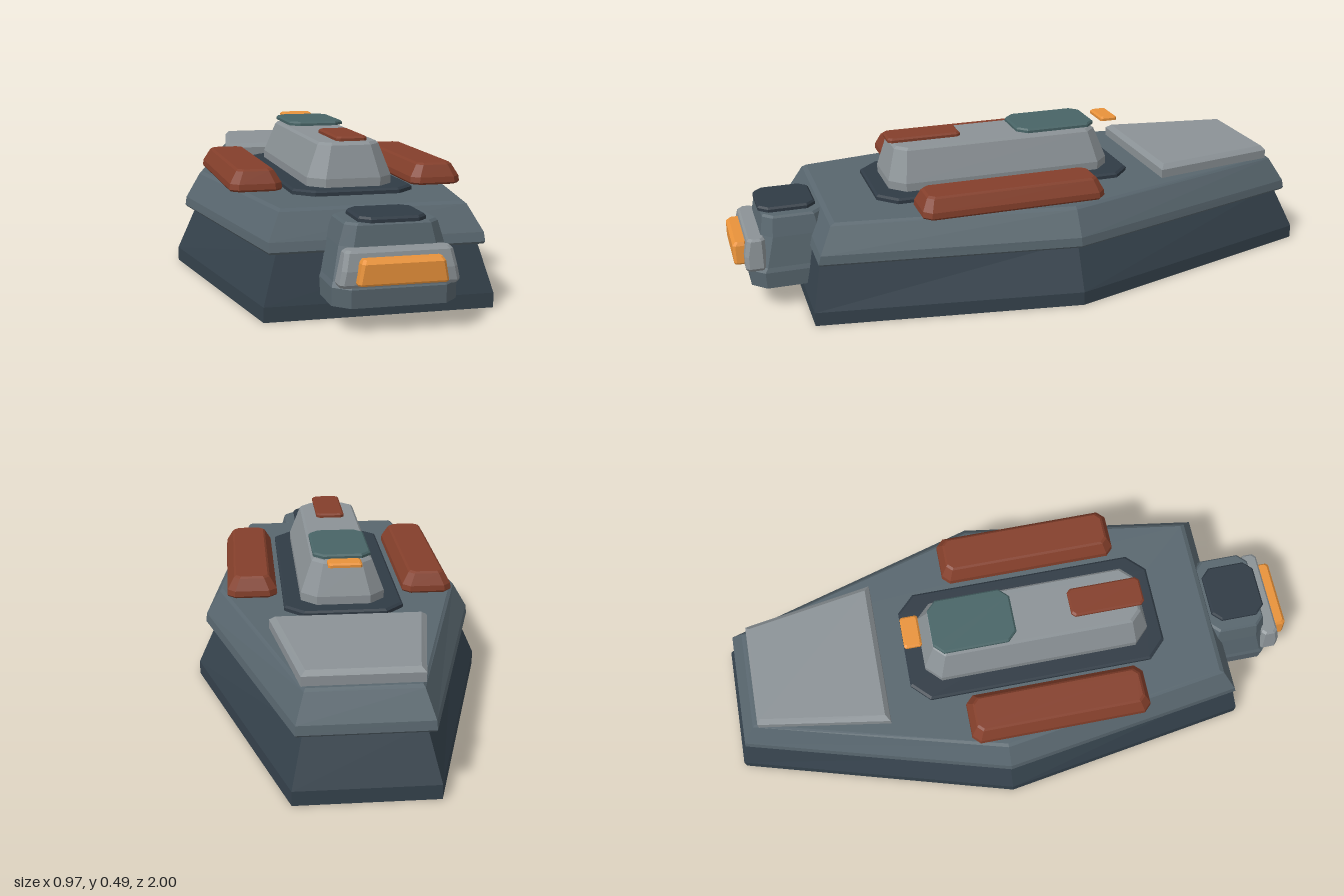
import * as THREE from 'three';

const COLORS = {
  hull: 0x35424c, deck: 0x58666e, grey: 0x8b9296, dark: 0x303b45,
  red: 0x843f2b, orange: 0xe8923a, teal: 0x486466,
};

// Solid skinned over horizontal rings; each ring runs counter-clockwise seen from above.
function loft(rings) {
  const pos = [];
  const n = rings[0].length;
  const tri = (a, b, c) => pos.push(...a, ...b, ...c);
  for (let r = 0; r < rings.length - 1; r++) {
    const lo = rings[r], hi = rings[r + 1];
    for (let i = 0; i < n; i++) {
      const j = (i + 1) % n;
      tri(lo[i], lo[j], hi[j]);
      tri(lo[i], hi[j], hi[i]);
    }
  }
  const bottom = rings[0], top = rings[rings.length - 1];
  for (let i = 1; i < n - 1; i++) {
    tri(bottom[0], bottom[i + 1], bottom[i]);
    tri(top[0], top[i], top[i + 1]);
  }
  const geometry = new THREE.BufferGeometry();
  geometry.setAttribute('position', new THREE.Float32BufferAttribute(pos, 3));
  geometry.computeVertexNormals();
  return geometry;
}

// Mirrored outline at height y from [half width, z] pairs listed front to back.
function ring(y, ...side) {
  const right = side.map(([x, z]) => [x, y, z]);
  const left = side.map(([x, z]) => [-x, y, z]).reverse();
  return [...right, ...left];
}

// Rectangle with cut corners.
function cutRect(y, halfWidth, back, front, cut) {
  return ring(y, [halfWidth - cut, front], [halfWidth, front - cut],
    [halfWidth, back + cut], [halfWidth - cut, back]);
}

export function createModel() {
  const model = new THREE.Group();

  const add = (name, color, rings, x = 0) => {
    const material = new THREE.MeshStandardMaterial({ color: COLORS[color], flatShading: true });
    const mesh = new THREE.Mesh(loft(rings), material);
    mesh.name = name;
    mesh.position.x = x;
    model.add(mesh);
  };

  // Six-sided hull, tapering upward
  add('hull', 'hull', [
    ring(0, [0.35, 0.785], [0.485, -0.07], [0.213, -1]),
    ring(0.045, [0.35, 0.785], [0.485, -0.07], [0.213, -1]),
    ring(0.2, [0.305, 0.752], [0.415, -0.07], [0.175, -0.93]),
  ]);

  // Overhanging deck with a wide bevel
  add('deck', 'deck', [
    ring(0.19, [0.325, 0.755], [0.45, -0.07], [0.197, -0.955]),
    ring(0.197, [0.33, 0.76], [0.457, -0.07], [0.2, -0.962]),
    ring(0.225, [0.328, 0.752], [0.453, -0.07], [0.198, -0.957]),
    ring(0.305, [0.288, 0.71], [0.406, -0.07], [0.171, -0.91]),
    ring(0.313, [0.28, 0.695], [0.395, -0.07], [0.166, -0.9]),
  ]);

  // Tapered panel on the rear deck
  add('rearPanel', 'grey', [
    ring(0.312, [0.25, -0.445], [0.178, -0.888]),
    ring(0.342, [0.25, -0.445], [0.178, -0.888]),
    ring(0.357, [0.23, -0.46], [0.164, -0.875]),
  ]);

  // Central superstructure on its base plate
  add('towerBase', 'dark', [
    cutRect(0.31, 0.195, -0.36, 0.53, 0.06),
    cutRect(0.324, 0.195, -0.36, 0.53, 0.06),
    cutRect(0.33, 0.188, -0.353, 0.523, 0.058),
  ]);
  add('tower', 'grey', [
    cutRect(0.328, 0.138, -0.3, 0.478, 0.05),
    cutRect(0.357, 0.138, -0.3, 0.478, 0.05),
    cutRect(0.458, 0.1, -0.262, 0.45, 0.036),
    cutRect(0.466, 0.092, -0.252, 0.44, 0.033),
  ]);

  // Thin plates above the tower
  const plate = (name, color, y, halfWidth, back, front, cut, height = 0.014) => add(name, color, [
    cutRect(y, halfWidth, back, front, cut),
    cutRect(y + height * 0.6, halfWidth, back, front, cut),
    cutRect(y + height, halfWidth - 0.006, back + 0.006, front - 0.006, cut * 0.85),
  ]);
  plate('towerHatch', 'teal', 0.473, 0.095, -0.26, 0.022, 0.032);
  plate('towerFin', 'red', 0.473, 0.05, 0.215, 0.465, 0.012);
  plate('rearLamp', 'orange', 0.474, 0.055, -0.355, -0.295, 0.006);

  // Long pods along both sides of the deck
  for (const [name, side] of [['leftPod', 1], ['rightPod', -1]]) {
    add(name, 'red', [
      cutRect(0.318, 0.08, -0.182, 0.426, 0.025),
      cutRect(0.324, 0.084, -0.186, 0.43, 0.025),
      cutRect(0.342, 0.082, -0.184, 0.428, 0.025),
      cutRect(0.38, 0.06, -0.165, 0.41, 0.019),
      cutRect(0.386, 0.053, -0.158, 0.402, 0.017),
    ], side * 0.296);
  }

  // Nose block with bumper and lamp
  add('nose', 'deck', [
    cutRect(0.072, 0.183, 0.66, 0.952, 0.045),
    cutRect(0.125, 0.183, 0.66, 0.955, 0.045),
    cutRect(0.14, 0.177, 0.665, 0.945, 0.045),
    cutRect(0.235, 0.155, 0.69, 0.91, 0.035),
    cutRect(0.293, 0.138, 0.707, 0.9, 0.03),
    cutRect(0.3, 0.132, 0.712, 0.895, 0.03),
  ]);
  plate('noseHatch', 'dark', 0.3, 0.1, 0.722, 0.908, 0.03, 0.016);
  add('bumper', 'grey', [
    cutRect(0.133, 0.17, 0.9, 0.964, 0.012),
    cutRect(0.142, 0.175, 0.9, 0.968, 0.012),
    cutRect(0.18, 0.167, 0.9, 0.968, 0.012),
    cutRect(0.228, 0.157, 0.9, 0.957, 0.012),
    cutRect(0.235, 0.15, 0.905, 0.95, 0.012),
  ]);
  add('noseLamp', 'orange', [
    cutRect(0.145, 0.128, 0.955, 0.998, 0.008),
    cutRect(0.15, 0.13, 0.955, 1.0, 0.008),
    cutRect(0.205, 0.12, 0.955, 1.0, 0.008),
    cutRect(0.216, 0.113, 0.955, 0.99, 0.008),
  ]);

  return model;
}
